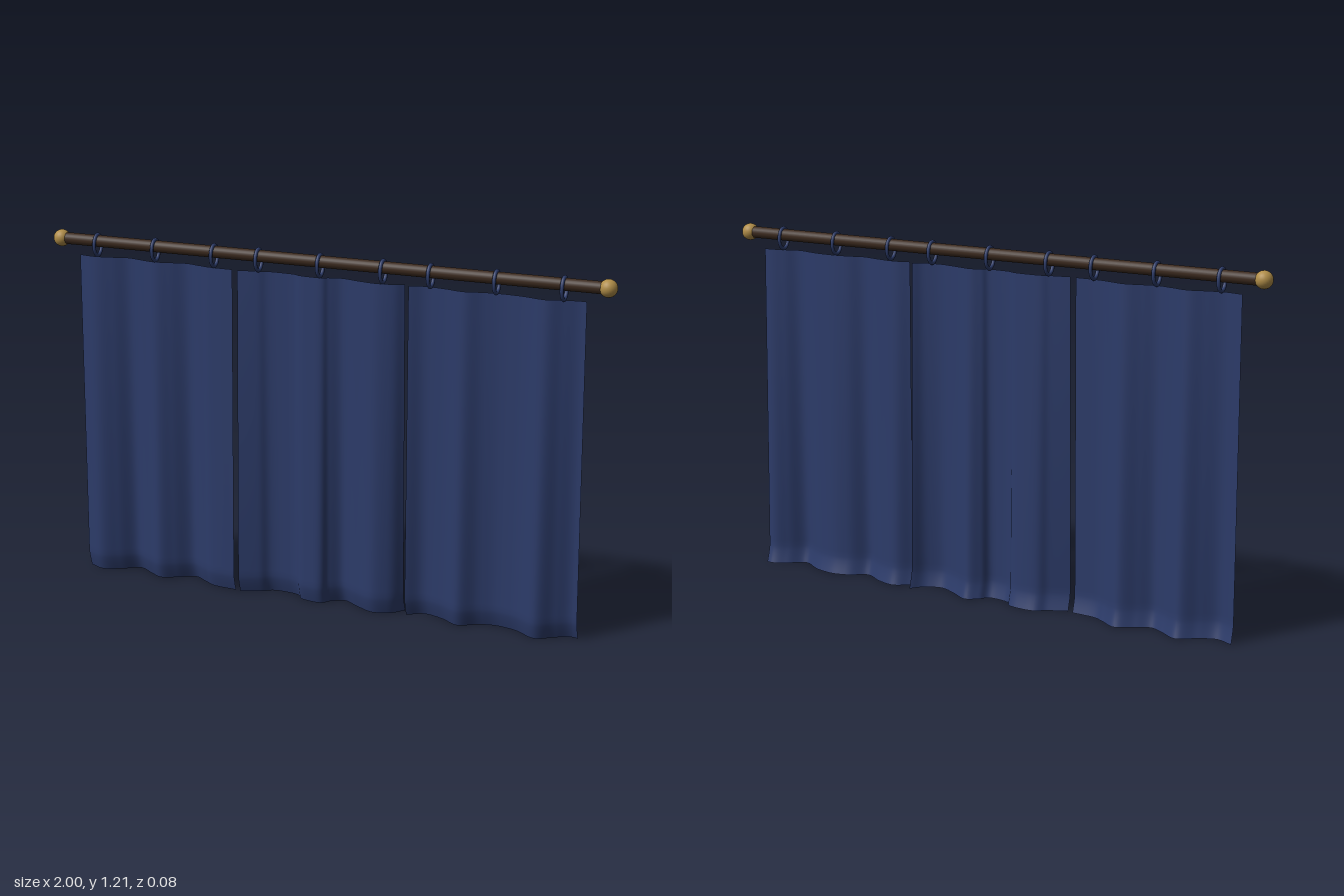
import * as THREE from 'three';

const cloth = new THREE.MeshStandardMaterial({ color: 0x2c3b69, side: THREE.DoubleSide });
cloth.name = 'navy cloth';
const wood = new THREE.MeshStandardMaterial({ color: 0x3d2b1f });
wood.name = 'dark wood';
const brass = new THREE.MeshStandardMaterial({ color: 0xb08d48 });
brass.name = 'brass';

const ROD_Y = 1.182, MID_Z = 0.01, TOP = 1.13, HEM = 0.06;

// Fold profiles as [x, depth]: 1 is the front of a pleat, -1 the back
const panels = {
  right: [[-0.9, 0.2], [-0.84, 0.9], [-0.78, 0.1], [-0.72, -1], [-0.66, 0], [-0.61, 0.7],
    [-0.56, 0], [-0.5, -1], [-0.44, 0], [-0.38, 0.7], [-0.315, 0.8]],
  middle: [[-0.295, 1], [-0.23, 0.1], [-0.17, -0.8], [-0.12, -0.7], [-0.06, 0.5], [-0.01, 0.7],
    [0.03, -0.3], [0.07, -1], [0.13, 0], [0.2, 0.9], [0.25, 0.4], [0.292, -1]],
  left: [[0.31, 0.1], [0.37, -0.9], [0.43, -0.4], [0.5, 0.7], [0.57, -0.5], [0.62, -0.8],
    [0.68, -0.5], [0.77, 0.9], [0.83, -0.3], [0.88, -1], [0.9, -0.9]],
};

function mesh(geometry, material, name, x, y, z) {
  const m = new THREE.Mesh(geometry, material);
  m.name = name;
  m.position.set(x, y, z);
  return m;
}

// Pleated sheet: folds deepen downwards and the hem kicks back
function curtain(profile) {
  const curve = new THREE.CatmullRomCurve3(
    profile.map(([x, d]) => new THREE.Vector3(x, d, 0)), false, 'centripetal');
  const cols = 80;
  const line = curve.getPoints(cols);
  const levels = [0, 0.015, 0.03, 0.045, HEM, 0.08];
  for (let i = 1; i <= 14; i++) levels.push(0.08 + (TOP - 0.08) * i / 14);
  const rows = levels.length - 1;
  const g = new THREE.PlaneGeometry(1, 1, cols, rows);
  const p = g.attributes.position;
  for (let r = 0; r <= rows; r++) {
    const y = levels[rows - r];
    const amp = THREE.MathUtils.lerp(0.033, 0.014, y / TOP);
    const kick = 0.016 * Math.pow(Math.max(0, 1 - y / HEM), 1.3);
    line.forEach((pt, c) => p.setXYZ(r * (cols + 1) + c, pt.x, y,
      MID_Z + amp * THREE.MathUtils.clamp(pt.y, -1, 1) - kick));
  }
  g.computeVertexNormals();
  return g;
}

export function createModel() {
  const model = new THREE.Group();
  model.name = 'curtains on a rod';

  // Rod and ball ends
  const rod = new THREE.CylinderGeometry(0.02, 0.02, 1.94, 24).rotateZ(Math.PI / 2);
  model.add(mesh(rod, wood, 'rod', 0, ROD_Y, MID_Z));
  for (const s of [-1, 1]) {
    model.add(mesh(new THREE.SphereGeometry(0.029, 24, 16), brass,
      s > 0 ? 'leftFinial' : 'rightFinial', s * 0.971, ROD_Y, MID_Z));
  }

  // Cloth panels
  for (const [side, profile] of Object.entries(panels)) {
    model.add(mesh(curtain(profile), cloth, side + 'Curtain', 0, 0, 0));
  }

  // Oval rings, three to a panel
  const ring = new THREE.TorusGeometry(0.026, 0.005, 10, 32).rotateY(Math.PI / 2).scale(1.3, 1.36, 1);
  for (const centre of [-0.608, 0, 0.608]) {
    for (const dx of [-0.222, 0, 0.222]) {
      model.add(mesh(ring, cloth, 'ring', centre + dx, 1.169, MID_Z + 0.002));
    }
  }
  return model;
}
